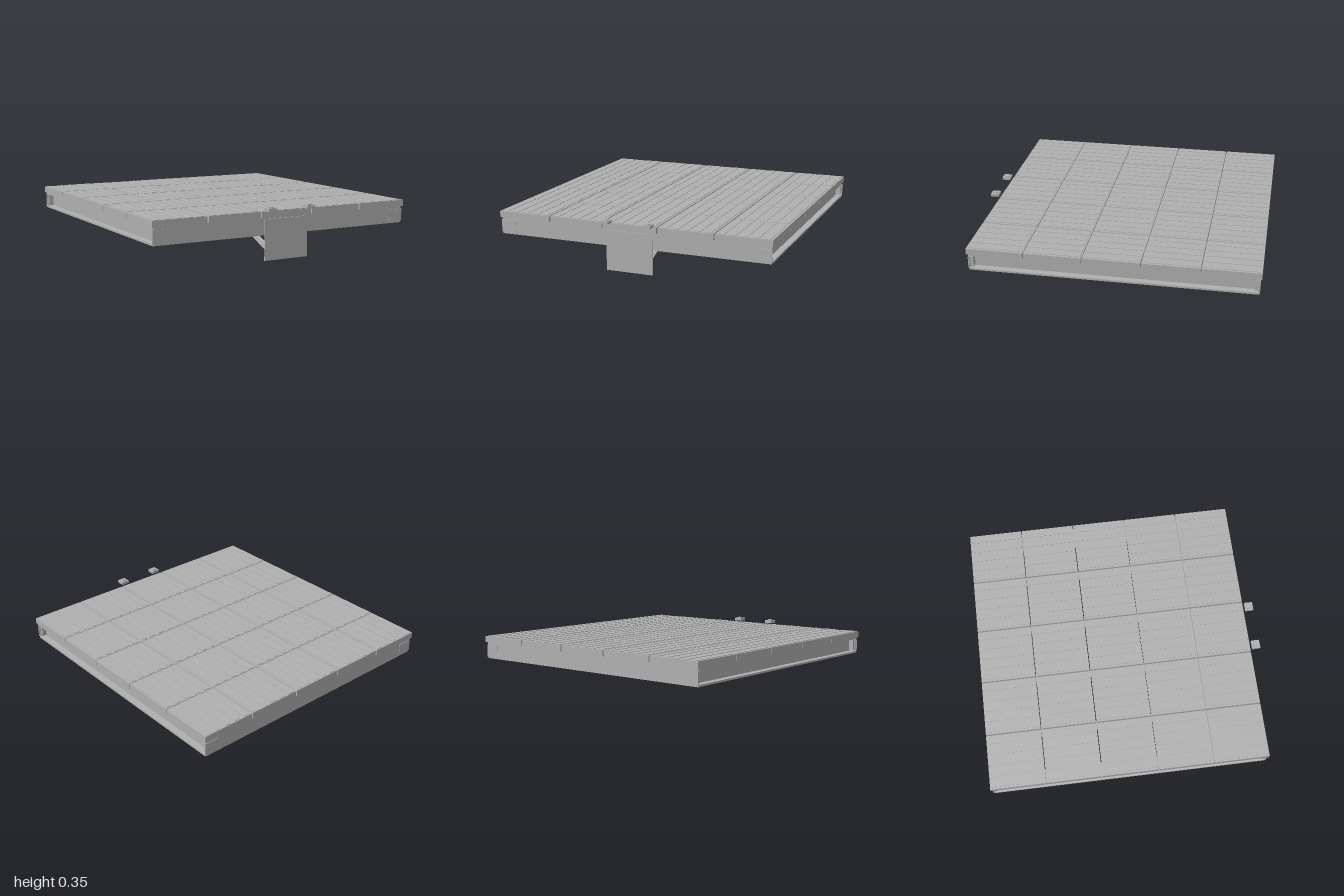
import * as THREE from 'three';

const steel = new THREE.MeshStandardMaterial({ color: 0xb0b0b0 });
steel.name = 'grey steel';

// Box given by its min and max corners
function box(parent, name, x0, x1, y0, y1, z0, z1) {
  const mesh = new THREE.Mesh(new THREE.BoxGeometry(x1 - x0, y1 - y0, z1 - z0), steel);
  mesh.position.set((x0 + x1) / 2, (y0 + y1) / 2, (z0 + z1) / 2);
  mesh.name = name;
  parent.add(mesh);
  return mesh;
}

// Rolled section running along z, web centred (I) or on one edge (C)
function section(name, width, height, length, flange, web, webX) {
  const w = width / 2, a = webX - web / 2, b = webX + web / 2;
  const pts = [
    [-w, 0], [w, 0], [w, flange], [b, flange], [b, height - flange], [w, height - flange],
    [w, height], [-w, height], [-w, height - flange], [a, height - flange], [a, flange], [-w, flange],
  ];
  const shape = new THREE.Shape(pts.map(([x, y]) => new THREE.Vector2(x, y)));
  const geo = new THREE.ExtrudeGeometry(shape, { depth: length, bevelEnabled: false });
  geo.translate(0, 0, -length / 2);
  const mesh = new THREE.Mesh(geo, steel);
  mesh.name = name;
  return mesh;
}

function buildDeck() {
  const deck = new THREE.Group();
  deck.name = 'deck';
  const pitch = 0.387, gapX = 0.009, gapZ = 0.005;
  for (let i = 0; i < 5; i++) {
    for (let j = 0; j < 5; j++) {
      const tile = new THREE.Group();
      tile.name = 'deckTile';
      const x0 = -0.9675 + i * pitch + gapX / 2, x1 = x0 + pitch - gapX;
      const z0 = -1 + j * pitch + gapZ / 2, z1 = z0 + pitch - gapZ;
      box(tile, 'tilePanel', x0, x1, 0.28, 0.323, z0, z1);
      // Shallow anti-slip ribs
      for (let k = 0; k < 5; k++) {
        const cx = x0 + (x1 - x0) * (k + 0.5) / 5;
        box(tile, 'tileRib', cx - 0.022, cx + 0.022, 0.322, 0.326, z0 + 0.008, z1 - 0.008);
      }
      deck.add(tile);
    }
  }
  return deck;
}

function buildFrame() {
  const frame = new THREE.Group();
  frame.name = 'frame';
  for (const s of [-1, 1]) {
    // Side I-beams
    const side = section('sideBeam', 0.1, 0.115, 1.9, 0.013, 0.01, 0);
    side.position.set(s * 0.905, 0.165, -0.0325);
    frame.add(side);

    // End channels with their flat backs outward
    const end = section('endBeam', 0.085, 0.115, 1.9, 0.0125, 0.01, 0.0375);
    end.rotation.y = s > 0 ? -Math.PI / 2 : Math.PI / 2;
    end.position.set(0, 0.165, s > 0 ? 0.8785 : -0.9435);
    frame.add(end);

    // Corner connection plates and angle clips
    for (const x of [-1, 1]) {
      const zFace = s > 0 ? 0.921 : -0.986;
      const a = x * 0.85, b = x * 0.957;
      box(frame, 'cornerPlate', Math.min(a, b), Math.max(a, b), 0.176, 0.262, zFace - 0.003, zFace + 0.003);
      const zc = s > 0 ? 0.9 : -0.965;
      box(frame, 'cornerClip', x * 0.925 - 0.02, x * 0.925 + 0.02, 0.185, 0.26, zc - 0.01, zc + 0.01);
    }
  }
  // End beams face outward: the web sits on the far side of each channel
  frame.children.filter((m) => m.name === 'endBeam').forEach((m) => {
    m.rotation.y = m.position.z > 0 ? -Math.PI / 2 : Math.PI / 2;
  });

  // Joists under the tile seams
  for (const x of [-0.5805, -0.1935, 0.1935, 0.5805]) {
    const joist = section('joist', 0.045, 0.05, 1.76, 0.008, 0.01, 0);
    joist.position.set(x, 0.23, -0.0325);
    frame.add(joist);
  }
  return frame;
}

function buildFrontBracket() {
  const bracket = new THREE.Group();
  bracket.name = 'frontBracket';
  box(bracket, 'frontPlate', -0.165, 0.162, 0, 0.272, 0.925, 0.932);
  box(bracket, 'crossMember', -0.18, 0.18, 0.165, 0.172, 0.54, 0.6);
  box(bracket, 'crossMemberWeb', -0.18, 0.18, 0.165, 0.25, 0.594, 0.6);

  // Diagonal struts with bolts on the back of the plate
  const from = new THREE.Vector3(0, 0.04, 0.922), to = new THREE.Vector3(0, 0.165, 0.59);
  const dir = to.clone().sub(from);
  for (const x of [-0.095, 0.095]) {
    const strut = section('strut', 0.03, 0.026, dir.length(), 0.006, 0.008, 0);
    strut.geometry.translate(0, -0.013, 0);
    strut.position.copy(from).lerp(to, 0.5).setX(x);
    strut.rotation.x = Math.atan2(-dir.y, dir.z);
    bracket.add(strut);
    for (const y of [0.03, 0.135]) {
      const bolt = new THREE.Mesh(new THREE.CylinderGeometry(0.007, 0.007, 0.01, 6), steel);
      bolt.rotation.x = Math.PI / 2;
      bolt.position.set(x * 1.4, y, 0.921);
      bolt.name = 'bolt';
      bracket.add(bolt);
    }
  }

  // Clamp blocks with a raised pad
  for (const x of [-0.15, 0.145]) {
    box(bracket, 'clampBlock', x - 0.03, x + 0.03, 0.328, 0.348, 0.942, 1);
    box(bracket, 'clampPad', x - 0.016, x + 0.016, 0.347, 0.355, 0.955, 0.987);
  }
  return bracket;
}

export function createModel() {
  const model = new THREE.Group();
  model.name = 'platform';
  model.add(buildDeck(), buildFrame(), buildFrontBracket());
  // Place the outer face of each end channel away from the centre
  return model;
}
